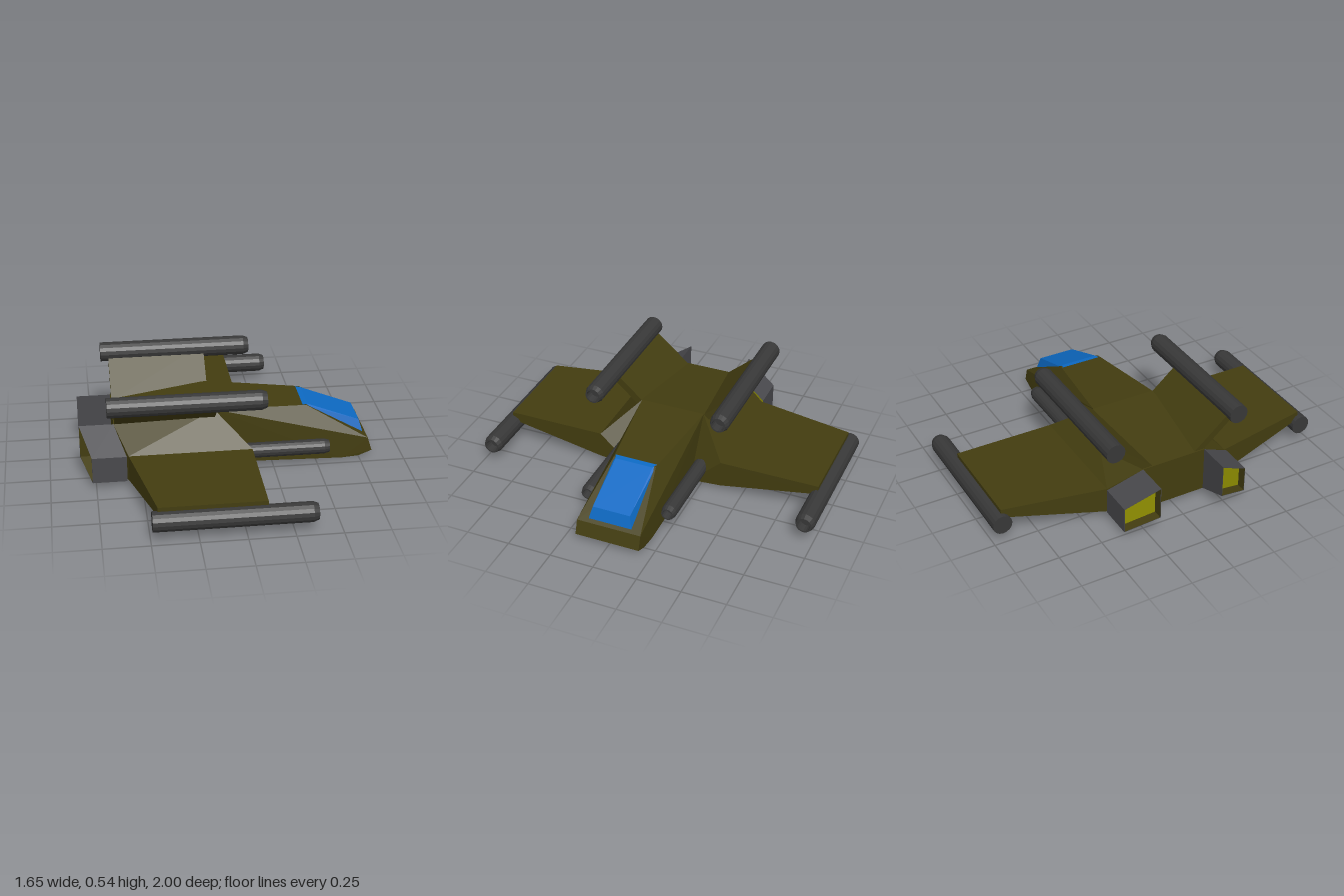
import * as THREE from 'three';
import { ConvexGeometry } from 'three/addons/geometries/ConvexGeometry.js';

const paint = (color, extra = {}) => new THREE.MeshStandardMaterial({ color, flatShading: true, ...extra });
const olive = paint(0x433d10);
const blue = paint(0x0d6ac4);
const gunGrey = paint(0x383838);
const shellGrey = paint(0x48484c, { side: THREE.DoubleSide });
const lining = paint(0x433d10, { side: THREE.DoubleSide });
const glow = paint(0x908f00, { side: THREE.DoubleSide });

const vec = (p, side = 1) => new THREE.Vector3(p[0], p[1], p[2] * side);
const sideName = (side) => (side > 0 ? 'left' : 'right');

// Faceted solid spanning a few corner points
function hull(name, points, material, side = 1) {
  const mesh = new THREE.Mesh(new ConvexGeometry(points.map((p) => vec(p, side))), material);
  mesh.name = name;
  return mesh;
}

// Faceted solid symmetric about the centre line
const symmetricHull = (name, half, material) =>
  hull(name, [...half, ...half.map(([x, y, z]) => [x, y, -z])], material);

// Open band of quads between two loops of corners
function band(name, a, b, material) {
  const pos = [];
  a.forEach((p, i) => {
    const j = (i + 1) % a.length;
    for (const v of [p, a[j], b[j], p, b[j], b[i]]) pos.push(v.x, v.y, v.z);
  });
  return surface(name, pos, material);
}

function surface(name, pos, material) {
  const g = new THREE.BufferGeometry();
  g.setAttribute('position', new THREE.Float32BufferAttribute(pos, 3));
  g.computeVertexNormals();
  const mesh = new THREE.Mesh(g, material);
  mesh.name = name;
  return mesh;
}

// Barrel along x with a chamfered, hollow muzzle
function barrel(name, x0, x1, y, z, r) {
  const len = x1 - x0;
  const profile = [
    [0, 0], [r, 0], [r, len - 0.03], [r * 0.8, len], [r * 0.65, len], [r * 0.6, len - 0.05], [0, len - 0.05],
  ].map(([px, py]) => new THREE.Vector2(px, py));
  const mesh = new THREE.Mesh(new THREE.LatheGeometry(profile, 16), gunGrey);
  mesh.rotation.z = -Math.PI / 2;
  mesh.position.set(x0, y, z);
  mesh.name = name;
  return mesh;
}

// Hollow exhaust box with a slanted rear opening
function engine(side) {
  const group = new THREE.Group();
  group.name = sideName(side) + 'Engine';
  const front = [[-0.64, 0.3, 0.19], [-0.58, 0.19, 0.375], [-0.58, 0.04, 0.375], [-0.64, 0.038, 0.19]].map((p) => vec(p, side));
  const rim = [[-0.83, 0.3, 0.19], [-0.77, 0.19, 0.375], [-0.77, 0.04, 0.375], [-0.83, 0.11, 0.19]].map((p) => vec(p, side));
  const centre = rim.reduce((s, p) => s.add(p), new THREE.Vector3()).multiplyScalar(0.25);
  const lip = rim.map((p) => p.clone().lerp(centre, 0.03));
  const back = lip.map((p) => p.clone().add(new THREE.Vector3(0.055, 0, 0)));
  const glowPos = [0, 1, 2, 0, 2, 3].flatMap((i) => back[i].toArray());
  group.add(
    band('engineShell', front, rim, shellGrey),
    band('engineRim', rim, lip, shellGrey),
    band('engineLining', lip, back, lining),
    surface('exhaustGlow', glowPos, glow),
  );
  return group;
}

export function createModel() {
  const ship = new THREE.Group();
  ship.name = 'spaceFighter';

  // Central body, nose pointing along +x
  ship.add(symmetricHull('fuselage', [
    [-0.64, 0.3, 0.19], [-0.08, 0.355, 0.19], [0.45, 0.32, 0.125], [0.8, 0.12, 0.185],
    [0.825, 0.04, 0.185], [0.75, 0.01, 0.185], [0.65, 0.005, 0.19], [-0.64, 0.038, 0.19],
  ], olive));

  ship.add(symmetricHull('canopy', [
    [0.43, 0.322, 0.122], [0.46, 0.319, 0.11], [0.76, 0.202, 0.108], [0.78, 0.133, 0.125], [0.7, 0.1, 0.1],
  ], blue));

  for (const s of [1, -1]) {
    const tag = sideName(s);

    // Sloping shoulder between body and wing
    ship.add(hull(tag + 'Shoulder', [
      [-0.64, 0.3, 0.19], [-0.08, 0.355, 0.19], [0.11, 0.022, 0.19], [-0.64, 0.038, 0.19],
      [-0.57, 0.19, 0.37], [0.11, 0.19, 0.37], [0.11, 0.035, 0.37], [-0.57, 0.04, 0.37],
    ], olive, s));

    // Wing with flat top and rising underside
    ship.add(hull(tag + 'Wing', [
      [-0.57, 0.19, 0.37], [0.11, 0.19, 0.37], [0.11, 0.035, 0.37], [-0.57, 0.04, 0.37],
      [-0.46, 0.19, 0.94], [0.11, 0.19, 0.94], [0.11, 0.14, 0.94], [-0.46, 0.14, 0.94],
    ], olive, s));

    // Slanted pylon carrying the upper gun
    const pylon = new THREE.Mesh(new THREE.BoxGeometry(0.555, 0.04, 0.33), olive);
    pylon.position.set(-0.357, 0.385, 0.26 * s);
    pylon.rotation.x = -0.71 * s;
    pylon.name = tag + 'Pylon';
    ship.add(pylon);

    ship.add(
      barrel(tag + 'UpperGun', -0.68, 0.185, 0.49, 0.375 * s, 0.055),
      barrel(tag + 'WingGun', -0.49, 0.37, 0.113, 0.945 * s, 0.055),
      barrel(tag + 'NoseGun', 0.07, 0.565, 0.112, 0.238 * s, 0.043),
      engine(s),
    );
  }
  return ship;
}
